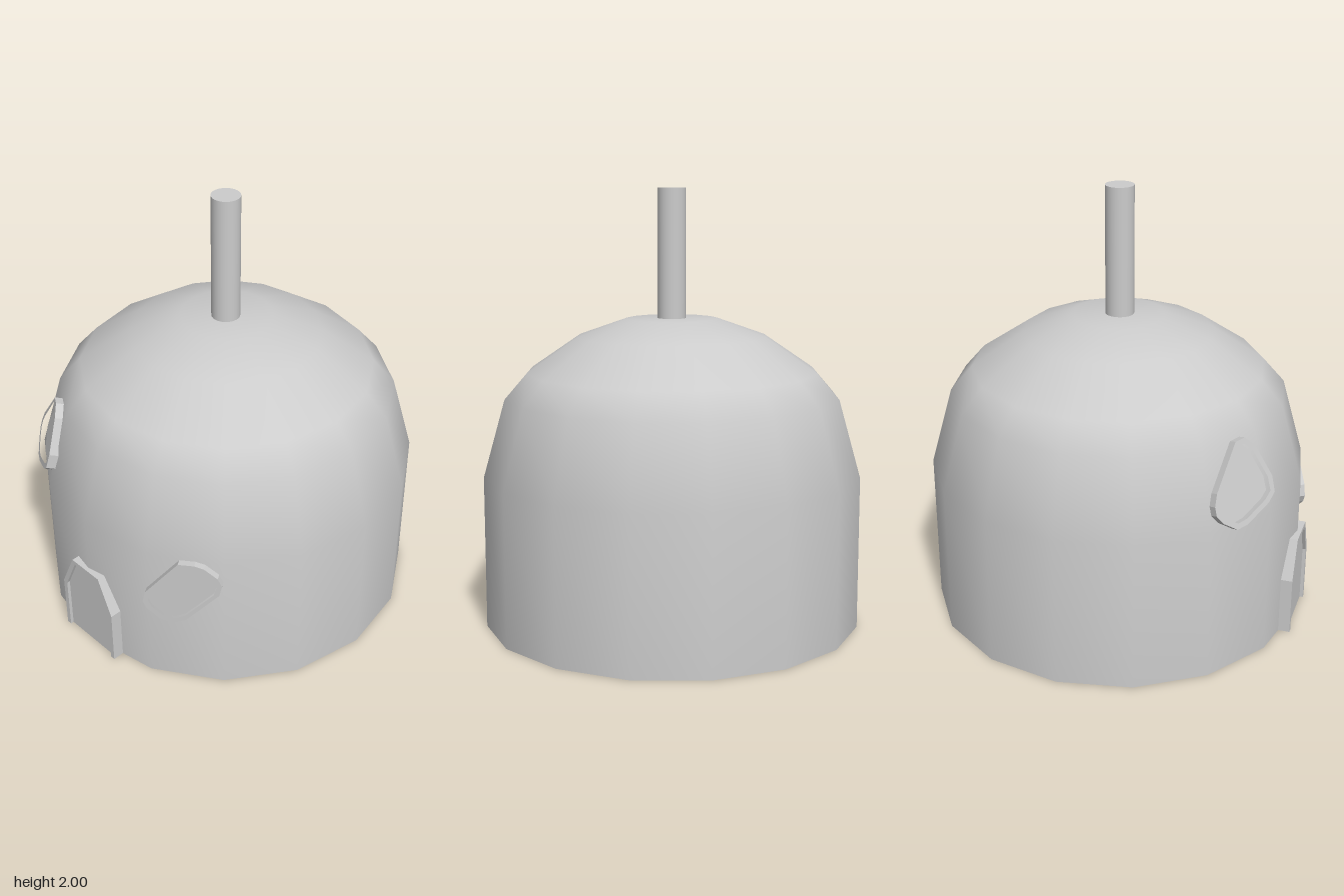
import * as THREE from 'three';

const material = new THREE.MeshStandardMaterial({ color: 0xcccccc });
const AXIS_Z = -0.012;

function mesh(name, geometry) {
  const m = new THREE.Mesh(geometry, material);
  m.name = name;
  return m;
}

const points = (list) => list.map(([x, y]) => new THREE.Vector2(x, y));

// Extrusion whose front face lies at z = front
function slab(shape, front, depth) {
  const g = new THREE.ExtrudeGeometry(shape, { depth, bevelEnabled: false });
  return g.translate(0, 0, front - depth);
}

// Rounded window: a raised rim and a recessed pane, turned to lie on the wall.
// The outline is given as seen from the front and projected onto the wall plane.
function makeWindow(name, outline, centre, yaw, tilt, recess) {
  const flat = outline.map(([x, y]) => {
    const v = (y - centre[1]) / Math.cos(tilt);
    const u = (x - centre[0] + v * Math.sin(tilt) * Math.sin(yaw)) / Math.cos(yaw);
    return new THREE.Vector2(u, v);
  });
  const inner = flat.map((p) => p.clone().multiplyScalar(1 - 0.026 / p.length()));
  const rim = new THREE.Shape(flat);
  rim.holes.push(new THREE.Path(inner));
  const group = new THREE.Group();
  group.name = name;
  group.add(
    mesh('windowRim', slab(rim, 0, 0.06)),
    mesh('windowPane', slab(new THREE.Shape(inner), -recess, 0.03))
  );
  group.position.set(...centre);
  group.rotation.set(-tilt, yaw, 0, 'YXZ');
  return group;
}

export function createModel() {
  const model = new THREE.Group();
  model.name = 'domedHut';

  // Sixteen-sided wall running smoothly into the dome
  const profile = [[0.87, 0], [0.87, 0.7], [0.77, 1.055], [0.67, 1.17], [0.435, 1.33], [0.21, 1.41], [0, 1.412]];
  const body = mesh('domedWall', new THREE.LatheGeometry(points(profile), 16));
  body.position.z = AXIS_Z;
  model.add(body);

  // Flat underside
  const floor = mesh('floor', new THREE.CircleGeometry(0.87, 16).rotateX(Math.PI / 2));
  floor.position.z = AXIS_Z;
  model.add(floor);

  // Chimney pipe
  const chimney = mesh('chimney', new THREE.CylinderGeometry(0.065, 0.065, 0.62, 24));
  chimney.position.set(0, 1.69, AXIS_Z / 2);
  model.add(chimney);

  // Door: frame open at the ground, with a recessed panel
  const outer = [[0.17, 0], [0.17, 0.27], [0.09, 0.445], [-0.09, 0.445], [-0.17, 0.27], [-0.17, 0]];
  const inner = [[-0.147, 0], [-0.147, 0.265], [-0.075, 0.425], [0.075, 0.425], [0.147, 0.265], [0.147, 0]];
  const door = new THREE.Group();
  door.name = 'door';
  door.add(
    mesh('doorFrame', slab(new THREE.Shape(points([...outer, ...inner])), 0.877, 0.08)),
    mesh('doorPanel', slab(new THREE.Shape(points(inner)), 0.862, 0.06))
  );
  model.add(door);

  // Windows on the two wall faces beside the door
  const yaw = THREE.MathUtils.degToRad(33.75);
  const lower = [[0.47, 0.695], [0.53, 0.7], [0.565, 0.69], [0.615, 0.645], [0.63, 0.605], [0.62, 0.55],
    [0.495, 0.375], [0.45, 0.35], [0.4, 0.36], [0.35, 0.41], [0.335, 0.45], [0.345, 0.505]];
  const upper = [[-0.435, 1.06], [-0.39, 1.065], [-0.355, 1.02], [-0.32, 0.87], [-0.33, 0.8], [-0.37, 0.765],
    [-0.49, 0.71], [-0.54, 0.705], [-0.59, 0.75], [-0.61, 0.79], [-0.605, 0.83], [-0.58, 0.88]];
  model.add(
    makeWindow('leftWindow', lower, [0.485, 0.53, 0.726], yaw, 0, 0.015),
    makeWindow('rightWindow', upper, [-0.46, 0.885, 0.69], -yaw, 0.27, 0.028)
  );
  return model;
}
